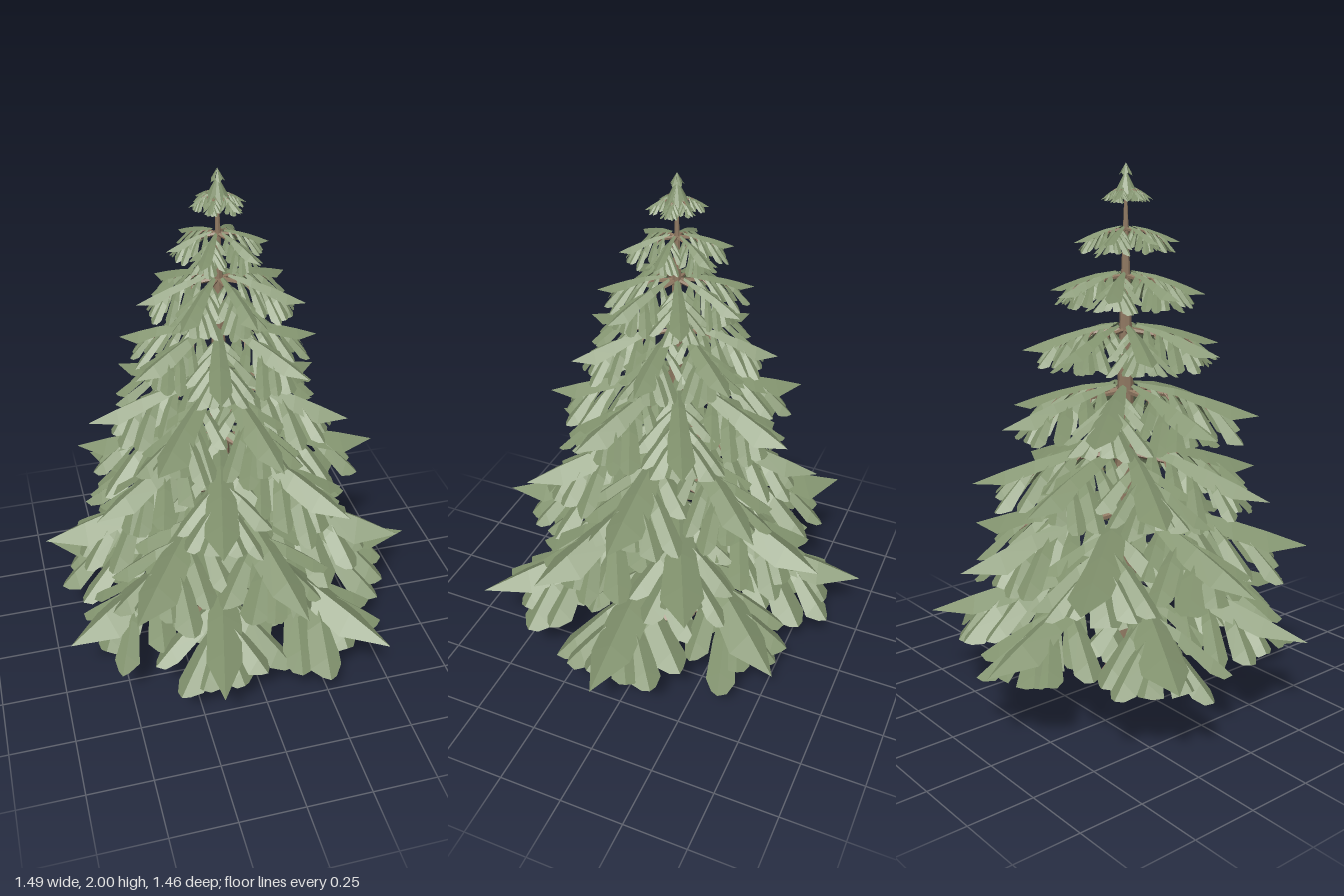
import * as THREE from 'three';
import { mergeGeometries } from 'three/addons/utils/BufferGeometryUtils.js';

const AXIS_X = -0.06;
const needleMat = new THREE.MeshStandardMaterial({ color: 0x82936e, flatShading: true, side: THREE.DoubleSide });
const barkMat = new THREE.MeshStandardMaterial({ color: 0x8f7861, flatShading: true });

// Whorls of branches: ridge height, fall to the tip, reach of each branch in turn
const TIERS = [
  { top: 0.51, fall: 0.20, reaches: [0.80, 0.80, 0.74, 0.73, 0.74, 0.76, 0.75] },
  { top: 0.75, fall: 0.18, reaches: [0.69, 0.70, 0.66, 0.67, 0.70, 0.69, 0.70] },
  { top: 0.98, fall: 0.16, reaches: [0.62, 0.59, 0.58, 0.57, 0.57, 0.55, 0.58] },
  { top: 1.21, fall: 0.13, reaches: [0.49, 0.50, 0.49, 0.48, 0.48, 0.49, 0.50] },
  { top: 1.43, fall: 0.10, reaches: [0.37, 0.39, 0.40, 0.37, 0.37, 0.37, 0.38] },
  { top: 1.62, fall: 0.085, reaches: [0.29, 0.29, 0.27, 0.31, 0.31, 0.29, 0.29] },
  { top: 1.78, fall: 0.06, reaches: [0.18, 0.20, 0.20, 0.18, 0.20, 0.19] },
  { top: 1.92, fall: 0.05, reaches: [0.10, 0.11, 0.09, 0.10, 0.11, 0.10] },
];

// Sprays on each side of a branch: place on the spine, sweep, length and droop (as shares of reach and length)
const SPRAYS = [
  { s: 0.12, yaw: 1.05, len: 0.26, droop: 0.5 },
  { s: 0.26, yaw: 1.05, len: 0.37, droop: 0.5 },
  { s: 0.41, yaw: 0.92, len: 0.40, droop: 0.55 },
  { s: 0.54, yaw: 0.74, len: 0.34, droop: 0.58 },
  { s: 0.64, yaw: 0.55, len: 0.2, droop: 0.7 },
  { s: 0.33, yaw: 0.6, len: 0.24, droop: 0.8 },
  { s: 0.5, yaw: 0.4, len: 0.2, droop: 0.85 },
];

let seed = 7;
function rand(a, b) {
  seed = (seed * 16807) % 2147483647;
  return a + (b - a) * (seed / 2147483647);
}

function polar(angle, r, y) {
  return new THREE.Vector3(Math.cos(angle) * r, y, Math.sin(angle) * r);
}

// Folded leaf: a ridge line with lower edges on both sides
function addLeaf(out, ridgeAt, yaw, halfWidths, fold) {
  const side = new THREE.Vector3(-Math.sin(yaw), 0, Math.cos(yaw));
  const rows = halfWidths.map(([t, w]) => {
    const ridge = ridgeAt(t);
    const edge = (sign, k) => ridge.clone().addScaledVector(side, sign * w * k).add(new THREE.Vector3(0, -w * fold * k, 0));
    return [edge(-1, rand(0.8, 1.15)), ridge, edge(1, rand(0.8, 1.15))];
  });
  for (let i = 0; i < rows.length - 1; i++) {
    const [l0, r0, e0] = rows[i];
    const [l1, r1, e1] = rows[i + 1];
    for (const p of [r0, e0, e1, r0, e1, r1, l0, r0, r1, l0, r1, l1]) out.push(p.x, p.y, p.z);
  }
}

// Thin tapered stick between two points
function stick(a, b, ra, rb) {
  const dir = b.clone().sub(a);
  const g = new THREE.CylinderGeometry(rb, ra, dir.length(), 5);
  g.applyQuaternion(new THREE.Quaternion().setFromUnitVectors(new THREE.Vector3(0, 1, 0), dir.normalize()));
  return g.translate((a.x + b.x) / 2, (a.y + b.y) / 2, (a.z + b.z) / 2);
}

function addBranch(leaves, sticks, tier, angle, reach) {
  const { top, fall } = tier;
  const start = Math.min(0.045, reach * 0.12);
  const spine = (s) => polar(angle, start + s * (reach - start), top - fall * Math.pow(s, 1.45));

  // Main frond along the whole branch
  const w = reach * 0.11;
  addLeaf(leaves, spine, angle, [[0, w * 0.25], [0.3, w * 0.6], [0.55, w * 0.85], [0.76, w], [1, 0]], 0.75);

  // Wood below the frond
  const below = (s) => spine(s).add(new THREE.Vector3(0, -reach * 0.045, 0));
  const thick = 0.005 + reach * 0.011;
  sticks.push(stick(polar(angle, 0, top - reach * 0.06), below(0.35), thick, thick * 0.75));
  sticks.push(stick(below(0.35), below(0.8), thick * 0.75, thick * 0.25));

  // Side sprays, swept forward and drooping, with blunt tips
  const sag = Math.min(0.028, reach * 0.13);
  for (const sign of [-1, 1]) {
    SPRAYS.forEach((spray, i) => {
      const yaw = angle + sign * spray.yaw * rand(0.85, 1.15);
      const len = reach * spray.len * rand(0.88, 1.12);
      const drop = len * spray.droop * rand(0.85, 1.15) + sag;
      const base = spine(spray.s).add(new THREE.Vector3(0, -reach * 0.02, 0));
      const ridge = (t) => base.clone().add(polar(yaw, t * len, -drop * Math.pow(t, 1.25)));
      const lw = reach * rand(0.062, 0.082);
      addLeaf(leaves, ridge, yaw, [[0, lw * 0.3], [0.4, lw * 0.75], [0.78, lw], [0.93, lw * 0.5], [1, 0]], 0.75);
      if (i === 1 || i === 3) {
        const end = ridge(0.6).add(new THREE.Vector3(0, -reach * 0.03, 0));
        sticks.push(stick(below(spray.s - 0.05), end, thick * 0.45, thick * 0.15));
      }
    });
  }
}

function needleMesh(leaves, name) {
  const g = new THREE.BufferGeometry();
  g.setAttribute('position', new THREE.Float32BufferAttribute(leaves, 3));
  g.computeVertexNormals();
  const mesh = new THREE.Mesh(g, needleMat);
  mesh.name = name;
  return mesh;
}

function woodMesh(geometry, name) {
  const mesh = new THREE.Mesh(geometry, barkMat);
  mesh.name = name;
  return mesh;
}

export function createModel() {
  seed = 7;
  const tree = new THREE.Group();
  tree.name = 'coniferTree';
  const body = new THREE.Group();
  body.name = 'treeBody';
  body.position.x = AXIS_X;
  tree.add(body);

  // Trunk with a flared foot
  const profile = [[0, 0], [0.09, 0], [0.08, 0.06], [0.067, 0.15], [0.056, 0.32], [0.045, 0.7],
    [0.034, 1.05], [0.024, 1.4], [0.015, 1.65], [0.007, 1.85], [0, 1.95]];
  const trunk = new THREE.LatheGeometry(profile.map(([r, y]) => new THREE.Vector2(r, y)), 8);
  body.add(woodMesh(trunk, 'trunk'));

  // Short root spurs around the foot
  const roots = [];
  for (let i = 0; i < 7; i++) {
    const a = (i / 7) * Math.PI * 2 + 0.1;
    roots.push(stick(polar(a, 0.094, 0.019), polar(a + 0.1, 0.074, rand(0.06, 0.1)), 0.019, 0.003));
  }
  body.add(woodMesh(mergeGeometries(roots), 'roots'));

  // Whorls, each turned half a turn from the one below
  TIERS.forEach((tier, n) => {
    const leaves = [];
    const sticks = [];
    tier.reaches.forEach((reach, i) => {
      const angle = (i / tier.reaches.length) * Math.PI * 2 + (n % 2) * Math.PI;
      addBranch(leaves, sticks, tier, angle, reach);
    });
    const whorl = new THREE.Group();
    whorl.name = `whorl${n + 1}`;
    whorl.add(needleMesh(leaves, 'fronds'), woodMesh(mergeGeometries(sticks), 'branches'));
    body.add(whorl);
  });

  // Crown: rings of small steep leaves around the tip
  const crown = [];
  for (const [top, r, drop, count] of [[2.0, 0.026, 0.045, 5], [1.975, 0.046, 0.09, 6], [1.95, 0.06, 0.085, 6]]) {
    for (let i = 0; i < count; i++) {
      const a = (i / count) * Math.PI * 2 + r * 10;
      const ridge = (t) => polar(a, t * r, top - drop * t);
      addLeaf(crown, ridge, a, [[0, 0], [0.65, r * 0.42], [1, 0]], 0.5);
    }
  }
  body.add(needleMesh(crown, 'crown'));
  return tree;
}
